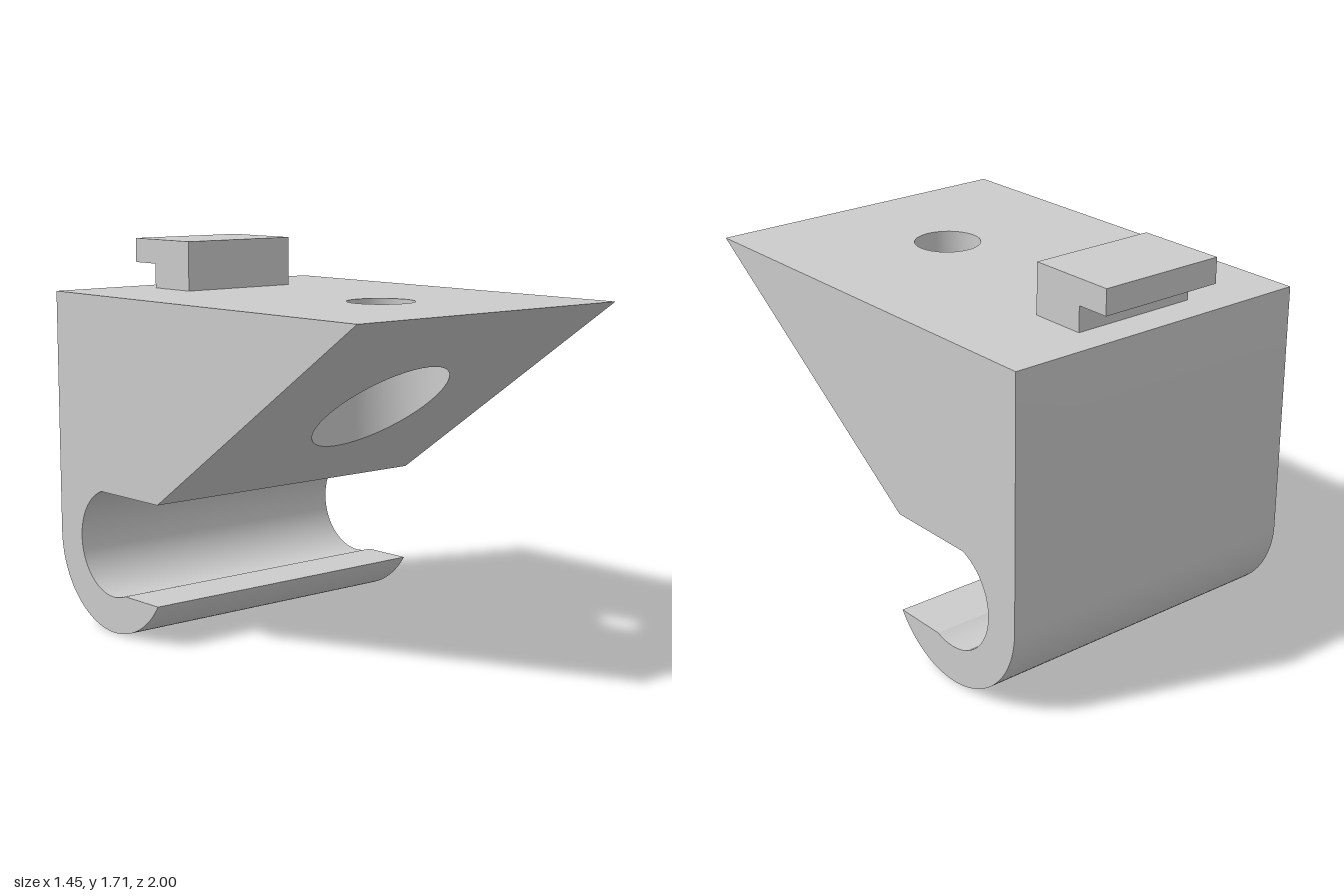
import * as THREE from 'three';
import { toCreasedNormals } from 'three/addons/utils/BufferGeometryUtils.js';

const HALF_W = 0.727, TOP = 1.49;
const HOLE_Z = 0.345, BORE_R = 0.145, POCKET_R = 0.29, POCKET_TOP = 1.345;
const SLANT_BACK = -0.26, SLANT_LOW = 0.625;

// height of the sloping underside at a given z
const slantY = z => SLANT_LOW + (z - SLANT_BACK) / (1 - SLANT_BACK) * (TOP - SLANT_LOW);

const material = new THREE.MeshStandardMaterial({ color: 0xcccccc });

// turn a geometry inside out
function flip(geo) {
  const index = geo.index.array;
  for (let i = 0; i < index.length; i += 3) [index[i], index[i + 1]] = [index[i + 1], index[i]];
  geo.computeVertexNormals();
  return geo;
}

function arc(r, from, to, steps) {
  const points = [];
  for (let i = 0; i <= steps; i++) {
    const a = from + (to - from) * i / steps;
    points.push(new THREE.Vector2(0.6 + r * Math.cos(a), 0.4 + r * Math.sin(a)));
  }
  return points;
}

// horizontal plate with a round hole, facing up
function plate(zMin, zMax, holeR) {
  const s = new THREE.Shape();
  s.moveTo(-HALF_W, -zMax).lineTo(HALF_W, -zMax).lineTo(HALF_W, -zMin).lineTo(-HALF_W, -zMin);
  s.closePath();
  s.holes.push(new THREE.Path().absarc(0, -HOLE_Z, holeR, 0, Math.PI * 2, true));
  return new THREE.ShapeGeometry(s, 24).rotateX(-Math.PI / 2);
}

// side wall swept across the width; profile is (-z, y), counter-clockwise
function sweep(path) {
  const pos = [];
  for (let i = 0; i < path.length - 1; i++) {
    const a = path[i], b = path[i + 1], w = HALF_W;
    pos.push(a.x, a.y, -w, b.x, b.y, -w, b.x, b.y, w);
    pos.push(a.x, a.y, -w, b.x, b.y, w, a.x, a.y, w);
  }
  const geo = new THREE.BufferGeometry();
  geo.setAttribute('position', new THREE.Float32BufferAttribute(pos, 3));
  geo.rotateY(Math.PI / 2);
  return toCreasedNormals(geo, 0.3);
}

export function createModel() {
  const group = new THREE.Group();
  const add = (name, geo) => {
    const mesh = new THREE.Mesh(geo, material);
    mesh.name = name;
    group.add(mesh);
  };

  // hook profile, from the foot of the slope round to the top of the back
  const path = [
    new THREE.Vector2(-SLANT_BACK, SLANT_LOW),
    ...arc(0.238, Math.atan2(0.225, 0.078), Math.atan2(-0.22, -0.09), 40),
    ...arc(0.4, Math.atan2(-0.22, -0.334), 0, 44),
    new THREE.Vector2(1, TOP),
  ];
  add('hookAndBack', sweep(path));

  // flat sides
  const side = new THREE.Shape([new THREE.Vector2(-1, TOP), ...path]);
  const cap = () => new THREE.ShapeGeometry(side).rotateY(Math.PI / 2);
  add('leftSide', cap().translate(HALF_W, 0, 0));
  add('rightSide', flip(cap().translate(-HALF_W, 0, 0)));

  // top face and sloping underside
  add('topFace', plate(-1, 1, BORE_R).translate(0, TOP, 0));
  const slope = plate(SLANT_BACK, 1, POCKET_R);
  const sp = slope.attributes.position;
  for (let i = 0; i < sp.count; i++) sp.setY(i, slantY(sp.getZ(i)));
  add('slopingFace', flip(slope));

  // screw hole with a wider pocket opening through the slope
  const depth = TOP - POCKET_TOP;
  const bore = new THREE.CylinderGeometry(BORE_R, BORE_R, depth, 48, 1, true);
  add('screwHole', flip(bore.translate(0, TOP - depth / 2, HOLE_Z)));

  const pocket = new THREE.CylinderGeometry(POCKET_R, POCKET_R, 1, 48, 1, true);
  pocket.translate(0, POCKET_TOP - 0.5, HOLE_Z);
  const pp = pocket.attributes.position;
  for (let i = 0; i < pp.count; i++) {
    if (pp.getY(i) < POCKET_TOP - 0.5) pp.setY(i, slantY(pp.getZ(i)));
  }
  add('pocketWall', flip(pocket));
  add('pocketCeiling', new THREE.RingGeometry(BORE_R, POCKET_R, 48)
    .rotateX(Math.PI / 2).translate(0, POCKET_TOP, HOLE_Z));

  // notched catch on top, overhanging at the back
  const catchShape = new THREE.Shape([
    [0.6, TOP], [0.85, TOP], [0.85, 1.6], [1, 1.6], [1, 1.71], [0.6, 1.71],
  ].map(p => new THREE.Vector2(...p)));
  add('topCatch', new THREE.ExtrudeGeometry(catchShape, { depth: 0.58, bevelEnabled: false })
    .translate(0, 0, -0.29).rotateY(Math.PI / 2));

  return group;
}
